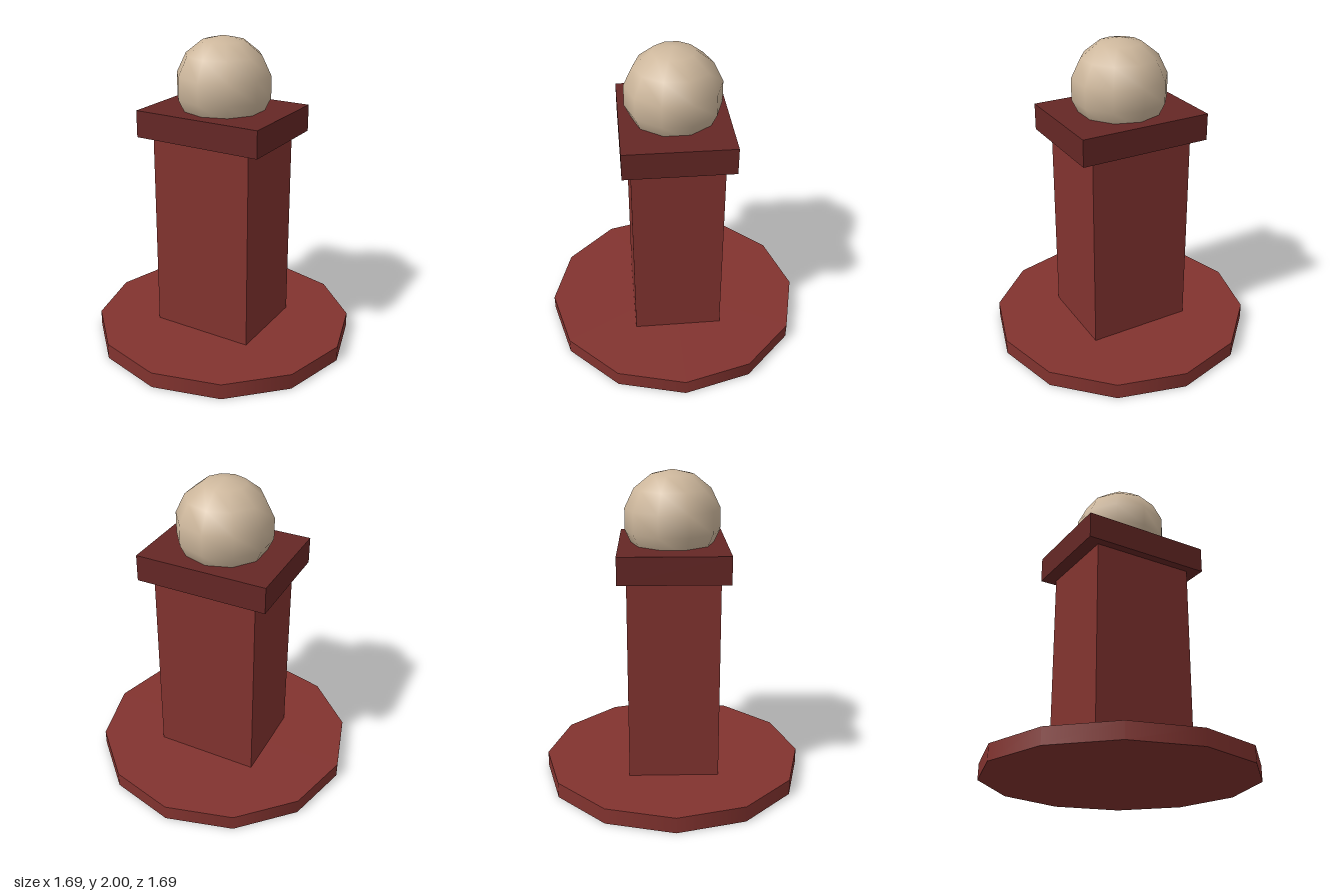
import * as THREE from 'three';

const material = (color) => new THREE.MeshStandardMaterial({ color });

export function createModel() {
  const model = new THREE.Group();
  const red = material(0x82332f);
  const darkRed = material(0x652725);
  const stone = material(0xcdb79c);

  const add = (name, geometry, mat, y) => {
    const mesh = new THREE.Mesh(geometry, mat);
    mesh.name = name;
    mesh.position.y = y;
    model.add(mesh);
    return mesh;
  };

  // Twelve-sided foot plate
  add('base', new THREE.CylinderGeometry(0.845, 0.845, 0.1, 12), red, 0.05);

  // Rectangular column and its overhanging cap slab
  add('column', new THREE.BoxGeometry(0.674, 1.28, 0.567), red, 0.74);
  add('cap', new THREE.BoxGeometry(0.846, 0.17, 0.674), darkRed, 1.465);

  // Ball sunk into the cap, with corners facing front and back
  const ball = add('ball', new THREE.SphereGeometry(0.305, 10, 7), stone, 1.695);
  ball.rotation.y = Math.PI / 2;

  return model;
}
